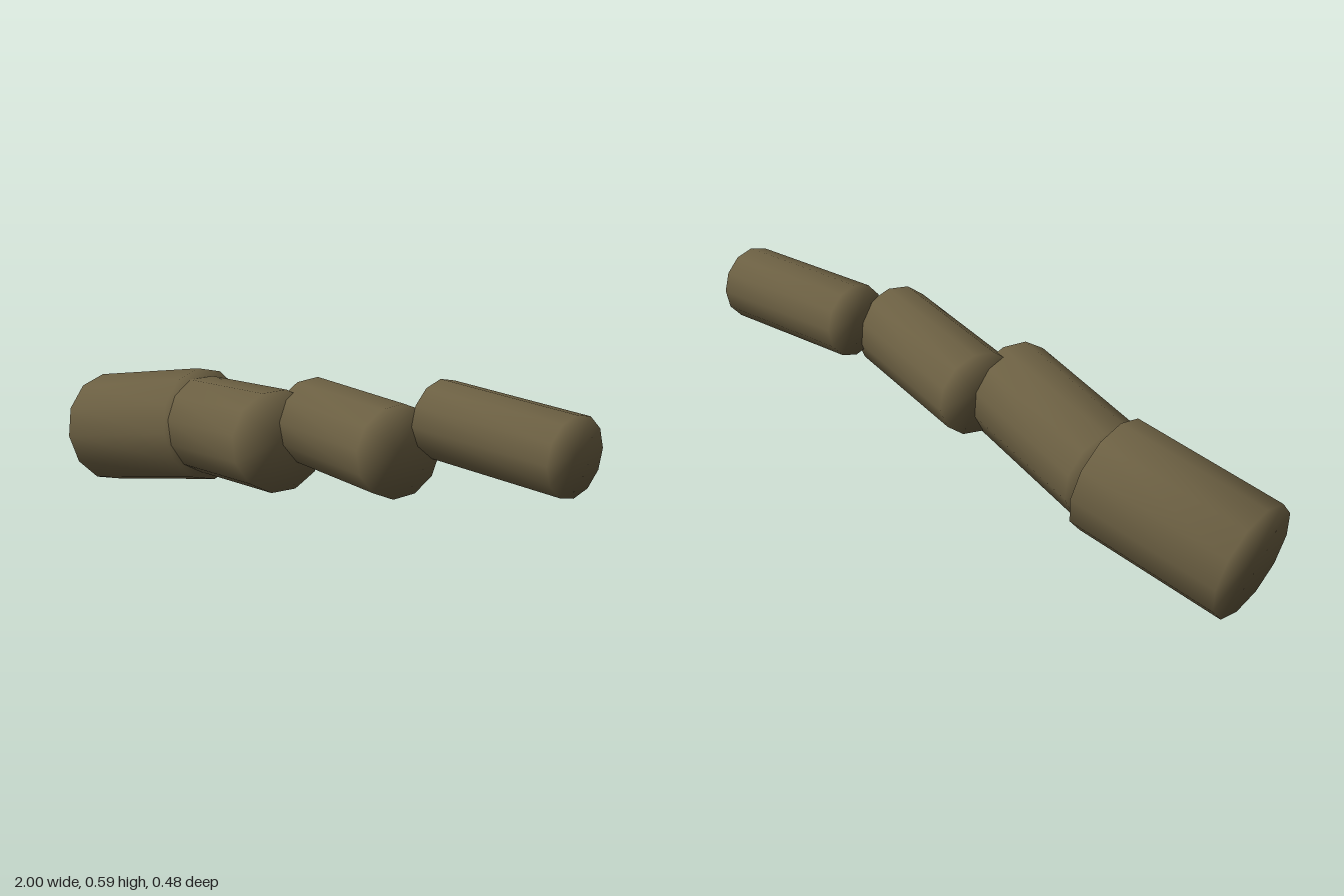
import * as THREE from 'three';
import { mergeVertices } from 'three/addons/utils/BufferGeometryUtils.js';

const SIDES = 12;
const material = new THREE.MeshStandardMaterial({ color: 0x6b5f42 });

// Closed cylinder between two points, with normals shared across the rims
function segment(name, start, end, radius, rollDegrees) {
  const a = new THREE.Vector3(...start);
  const b = new THREE.Vector3(...end);
  const axis = b.clone().sub(a);
  const length = axis.length();
  axis.normalize();

  let geometry = new THREE.CylinderGeometry(radius, radius, length, SIDES);
  geometry.deleteAttribute('normal');
  geometry.deleteAttribute('uv');
  geometry = mergeVertices(geometry, 1e-4);
  geometry.rotateY(-THREE.MathUtils.degToRad(rollDegrees));
  geometry.computeVertexNormals();

  const z = new THREE.Vector3().crossVectors(axis, new THREE.Vector3(0, 1, 0)).normalize();
  const x = new THREE.Vector3().crossVectors(axis, z);
  const mesh = new THREE.Mesh(geometry, material);
  mesh.name = name;
  mesh.quaternion.setFromRotationMatrix(new THREE.Matrix4().makeBasis(x, axis, z));
  mesh.position.copy(a).add(b).multiplyScalar(0.5);
  return mesh;
}

export function createModel() {
  const group = new THREE.Group();
  group.name = 'segmentedBranch';
  // Four overlapping lengths, thickest at the low end
  group.add(
    segment('baseSegment', [-0.965, 0.182, -0.062], [-0.478, 0.28, -0.062], 0.182, 0),
    segment('lowerSegment', [-0.48, 0.28, -0.062], [0.01, 0.343, 0.09], 0.156, 13),
    segment('upperSegment', [0.01, 0.378, -0.057], [0.49, 0.405, 0.096], 0.136, 8),
    segment('tipSegment', [0.505, 0.475, -0.062], [0.992, 0.462, -0.037], 0.116, -2),
  );
  return group;
}
